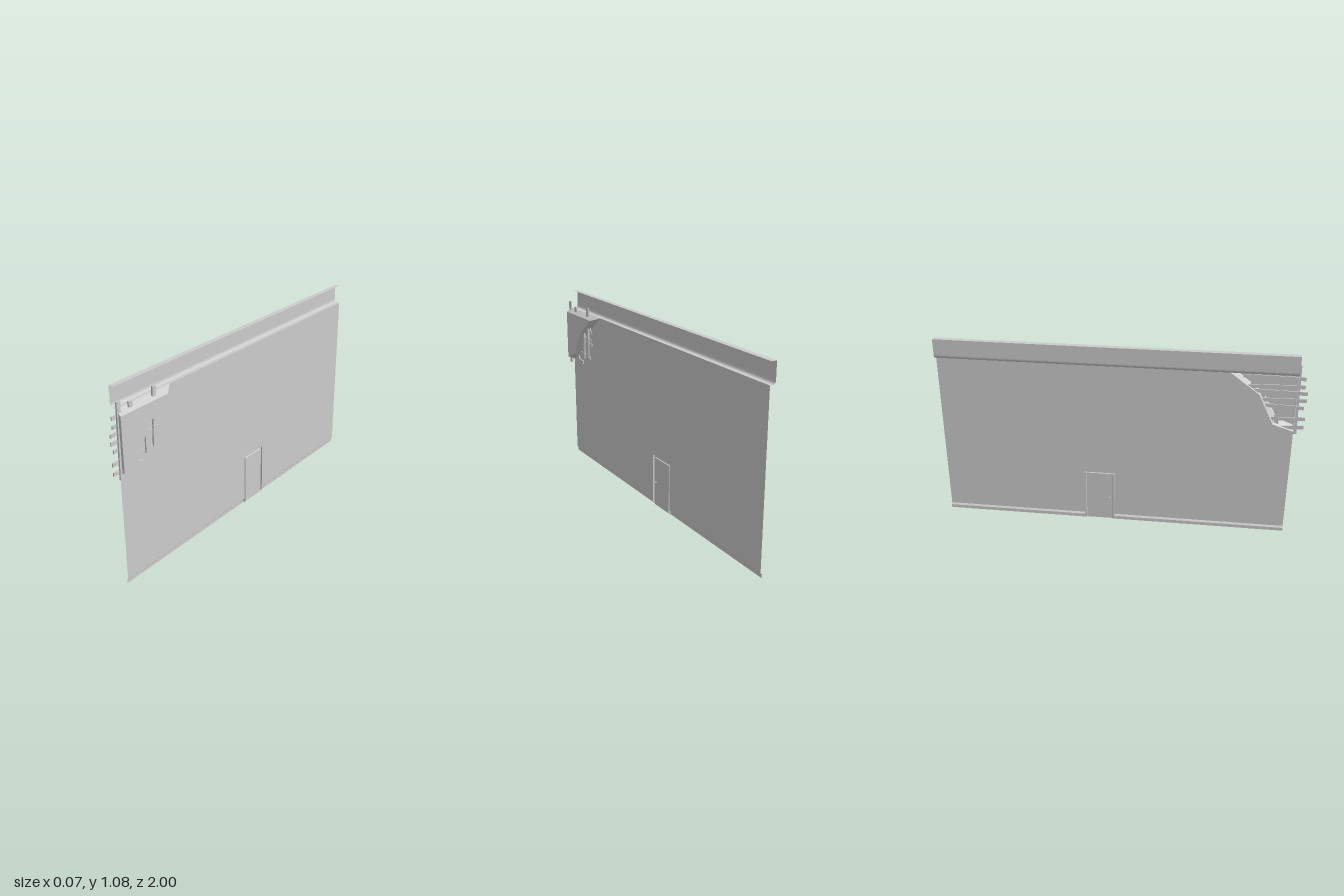
import * as THREE from 'three';

const WALL = -0.005;
const Z0 = -1, Z1 = 0.945;
const grey = new THREE.MeshStandardMaterial({ color: 0xcccccc, side: THREE.DoubleSide, flatShading: true });

function add(parent, name, geometry) {
  const m = new THREE.Mesh(geometry, grey);
  m.name = name;
  parent.add(m);
  return m;
}

// Skin between successive rows of [x, y, z] points
function loft(rows) {
  const pos = [];
  for (let r = 0; r < rows.length - 1; r++) {
    for (let i = 0; i < rows[r].length - 1; i++) {
      const a = rows[r][i], b = rows[r][i + 1], c = rows[r + 1][i + 1], d = rows[r + 1][i];
      pos.push(...a, ...b, ...c, ...a, ...c, ...d);
    }
  }
  const g = new THREE.BufferGeometry();
  g.setAttribute('position', new THREE.Float32BufferAttribute(pos, 3));
  g.computeVertexNormals();
  return g;
}

// Extends an [x, y] profile along z
const sweep = (profile, za, zb) => loft([za, zb].map(z => profile.map(([x, y]) => [x, y, z])));

// Places a [z, y] path at a given x
const at = (path, x) => path.map(([z, y]) => [x, y, z]);

// Flat sheet from a [z, y] outline, facing -x
function sheet(points, x) {
  const g = new THREE.ShapeGeometry(new THREE.Shape(points.map(p => new THREE.Vector2(...p))));
  g.rotateY(-Math.PI / 2);
  g.translate(x, 0, 0);
  return g;
}

export function createModel() {
  const model = new THREE.Group();
  model.name = 'damagedWall';

  const doorA = -0.195, doorB = -0.022, doorTop = 0.3, baseTop = 0.028, wallTop = 0.965;
  const hole = [[0.58, wallTop], [0.75, 0.838], [0.832, 0.668], [Z1, 0.632]];
  const pocket = [[0.638, 0.943], [0.773, 0.838], [0.857, 0.688], [0.955, 0.65]];

  // Wall with the doorway and the broken corner cut out
  add(model, 'wall', sheet([
    [Z0, baseTop], [doorA, baseTop], [doorA, doorTop], [doorB, doorTop], [doorB, baseTop],
    [Z1, baseTop], ...[...hole].reverse(), [Z0, wallTop],
  ], WALL));

  // Baseboard on each side of the door
  const base = [[WALL, baseTop], [-0.013, 0.019], [-0.013, 0]];
  add(model, 'baseboardBack', sweep(base, Z0, doorA));
  add(model, 'baseboardFront', sweep(base, doorB, Z1));

  // Recessed cornice with a cove at its foot
  const cove = [];
  for (let i = 0; i <= 5; i++) {
    const t = (i / 5) * Math.PI / 2;
    cove.push([-0.024 - 0.014 * Math.cos(t), 0.985 - 0.02 * Math.sin(t)]);
  }
  add(model, 'cornice', sweep([[-0.008, 1.075], [-0.038, 1.075], ...cove, [WALL, wallTop]], Z0, Z1));

  // Door frame, panel and handles
  const door = new THREE.Group();
  door.name = 'door';
  model.add(door);
  const arch = inset => [
    [doorA + inset, 0], [doorA + inset, doorTop - inset], [doorB - inset, doorTop - inset], [doorB - inset, 0],
  ];
  add(door, 'doorFrame', loft([at(arch(0), WALL), at(arch(0), -0.014), at(arch(0.011), -0.014), at(arch(0.013), -0.008)]));
  add(door, 'doorPanel', sheet(arch(0.013), -0.008));
  const knob = new THREE.SphereGeometry(0.0055, 10, 8);
  for (const x of [-0.014, -0.004]) {
    add(door, 'doorKnob', knob).position.set(x, 0.14, -0.05);
  }

  // Broken-out pocket bulging behind the wall
  const broken = new THREE.Group();
  broken.name = 'brokenCorner';
  model.add(broken);
  const X = 0.035;
  const top = [[Z1, wallTop], hole[0]], topIn = [[0.955, 0.943], pocket[0]];
  add(broken, 'pocketEdge', loft([at([...top, ...hole.slice(1)], WALL), at([...topIn, ...pocket.slice(1)], X)]));
  add(broken, 'pocketBack', sheet([topIn[0], ...pocket], X));
  add(broken, 'pocketEnd', loft([at([top[0], hole[3]], WALL), at([topIn[0], pocket[3]], X)]));

  // Horizontal slats: height, inner end, outer end, tilt
  const slats = [
    [0.935, 0.66, 0.985, 0.01], [0.89, 0.69, 0.985, -0.03], [0.852, 0.675, 1, 0.02], [0.812, 0.685, 1, -0.02],
    [0.768, 0.675, 0.988, 0.04], [0.705, 0.70, 1, -0.04], [0.655, 0.80, 0.998, -0.06],
  ];
  for (const [y, a, b, tilt] of slats) {
    const m = add(broken, 'horizontalSlat', new THREE.BoxGeometry(0.006, 0.02, b - a));
    m.position.set(0.006, y + Math.sin(tilt) * (b - a) / 2, (a + b) / 2);
    m.rotation.x = tilt;
  }

  // Upright slats: position along the wall, bottom, top, tilt
  const uprights = [[0.948, 0.612, 1.008, 0.02], [0.86, 0.66, 0.985, -0.06], [0.77, 0.68, 0.93, 0.03], [0.715, 0.695, 1.005, 0.03]];
  for (const [z, a, b, tilt] of uprights) {
    const m = add(broken, 'uprightSlat', new THREE.BoxGeometry(0.009, b - a, 0.024));
    m.position.set(0.012, (a + b) / 2, z);
    m.rotation.x = -tilt;
  }

  return model;
}
